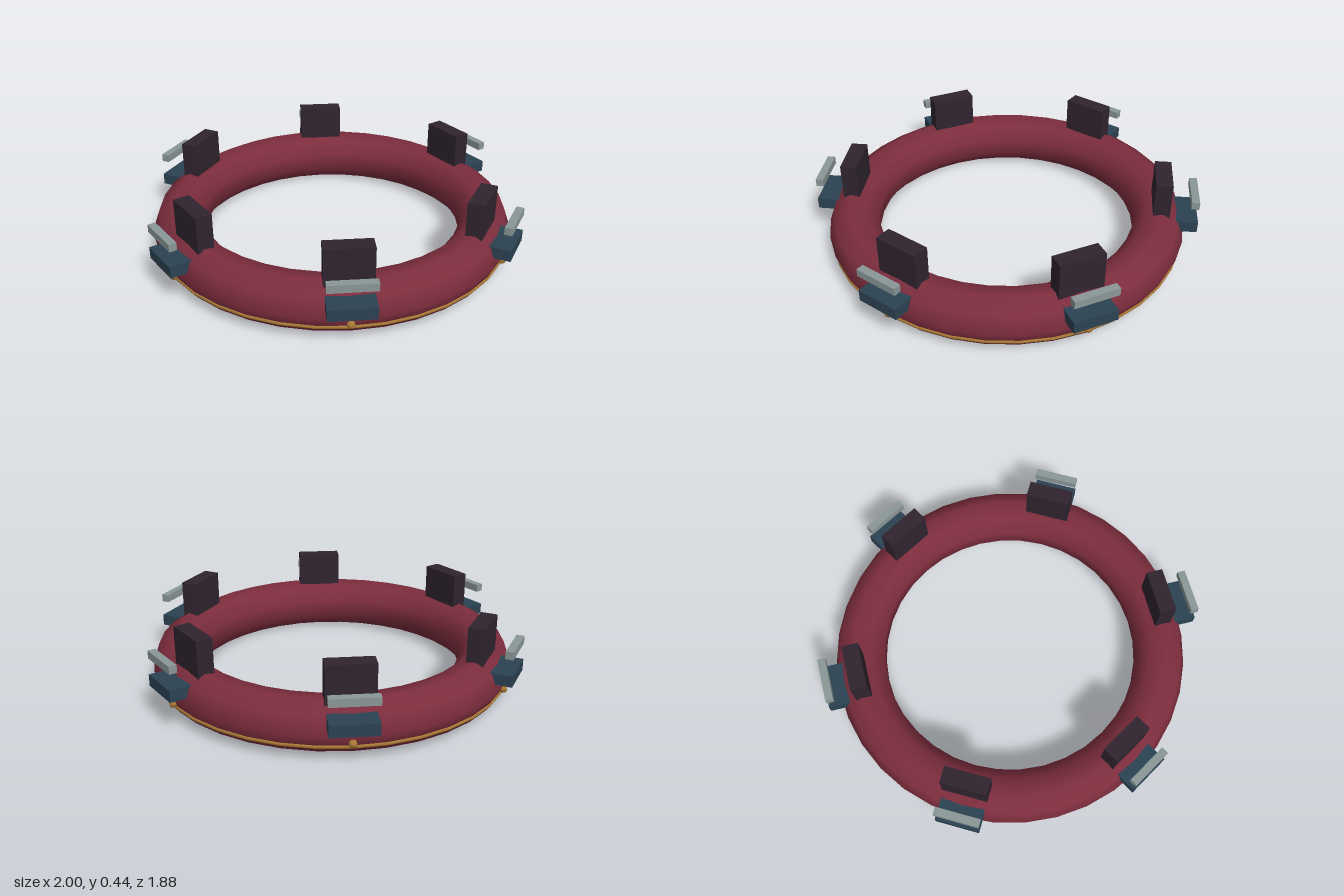
import * as THREE from 'three';

const mat = (name, color) => Object.assign(new THREE.MeshStandardMaterial({ color }), { name });

export function createModel() {
  const red = mat('deep red', 0x7d2d3d);
  const plum = mat('dark plum', 0x30242f);
  const blue = mat('slate blue', 0x2c4252);
  const grey = mat('light grey', 0x8b9797);
  const gold = mat('gold', 0xa87835);

  const model = new THREE.Group();
  model.name = 'stationRing';

  const add = (parent, name, geometry, material, x, y) => {
    const mesh = new THREE.Mesh(geometry, material);
    mesh.name = name;
    mesh.position.set(x, y, 0);
    parent.add(mesh);
    return mesh;
  };

  // Main ring with a nine-sided tube, and the thin trim line on its outside
  const ring = new THREE.TorusGeometry(0.8045, 0.1355, 9, 36).rotateX(Math.PI / 2);
  add(model, 'ring', ring, red, 0, 0.1335);
  const trim = new THREE.TorusGeometry(0.92, 0.009, 6, 36).rotateX(Math.PI / 2);
  add(model, 'trimLine', trim, gold, 0, 0.075);

  // Six identical stations around the ring
  const tower = new THREE.BoxGeometry(0.085, 0.24, 0.235);
  const ledge = new THREE.BoxGeometry(0.13, 0.06, 0.227);
  const bar = new THREE.BoxGeometry(0.04, 0.04, 0.23);
  const stud = new THREE.SphereGeometry(0.02, 10, 8);
  for (let i = 0; i < 6; i++) {
    const station = new THREE.Group();
    station.name = `station${i + 1}`;
    station.rotation.y = (i * Math.PI) / 3;
    add(station, 'tower', tower, plum, 0.81, 0.32);
    add(station, 'ledge', ledge, blue, 0.935, 0.197);
    add(station, 'bar', bar, grey, 0.975, 0.33);
    add(station, 'stud', stud, gold, 0.936, 0.099);
    model.add(station);
  }
  return model;
}
